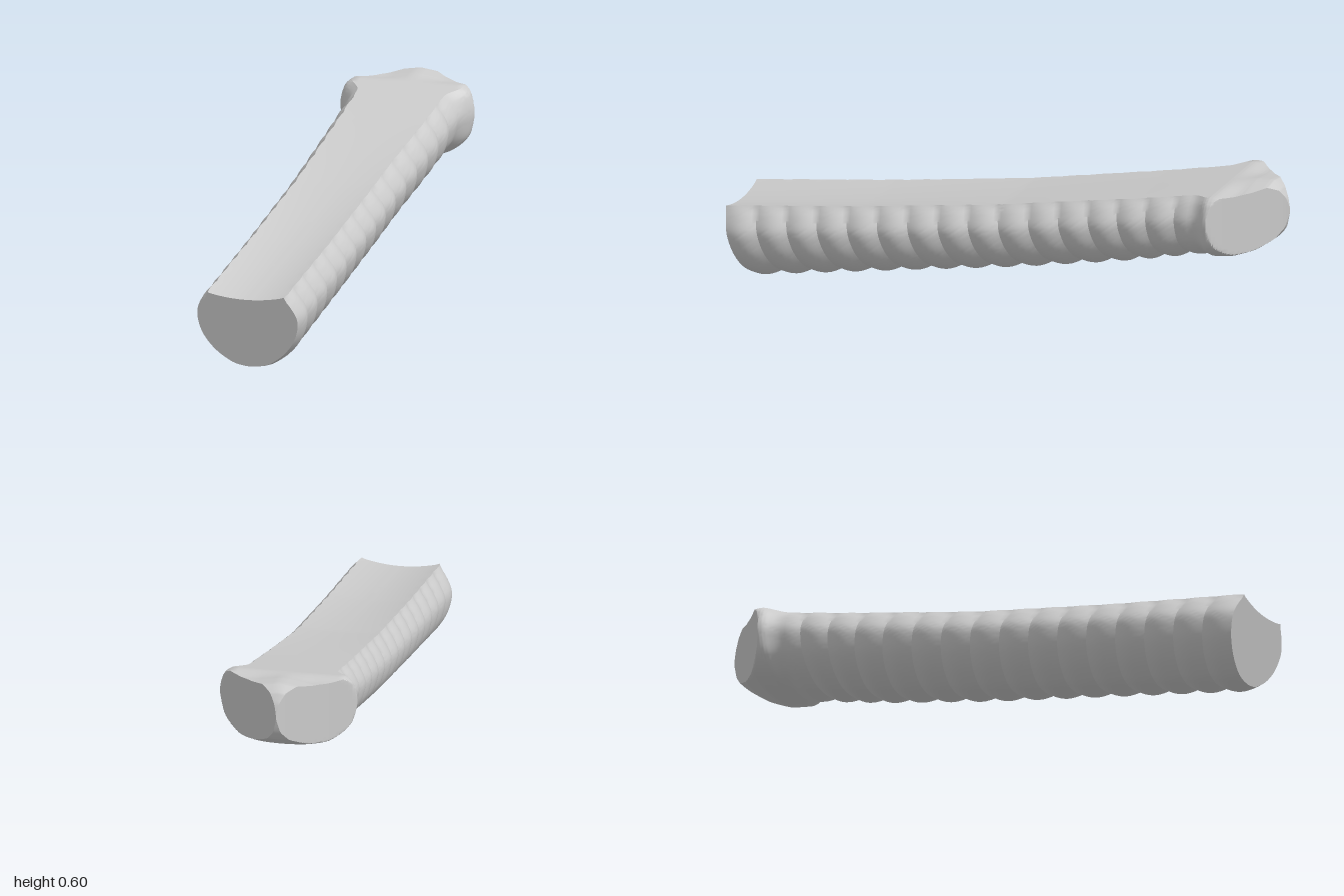
import * as THREE from 'three';
import { toCreasedNormals } from 'three/addons/utils/BufferGeometryUtils.js';

const { lerp, smoothstep } = THREE.MathUtils;

// Height of the top and of the underside along the length, as [z, y]
const TOP = [[1, 0.265], [0.5, 0.335], [0, 0.415], [-0.5, 0.515], [-0.79, 0.578],
  [-0.88, 0.592], [-0.94, 0.596], [-0.97, 0.575], [-0.99, 0.54], [-1, 0.5]];
const BOTTOM = [[1, -0.01], [0, 0.165], [-0.72, 0.315], [-0.79, 0.33], [-0.85, 0.34],
  [-0.91, 0.365], [-0.96, 0.4], [-0.985, 0.435], [-1, 0.49]];

function along(table, z) {
  let i = 0;
  while (i < table.length - 2 && z < table[i + 1][0]) i++;
  const [a, b] = [table[i], table[i + 1]];
  return lerp(a[1], b[1], (z - a[0]) / (b[0] - a[0]));
}

// Half outlines: x and depth below the top (0 = top, 1 = underside)
const spline = (pts) => new THREE.SplineCurve(pts.map((p) => new THREE.Vector2(...p)));
const SIDE = 48, FLAT = 8, LOBES = 16, BODY_END = -0.76, SHOULDER = -0.79;
const bodySide = spline([[0.138, 0], [0.165, 0.11], [0.188, 0.28], [0.185, 0.45],
  [0.165, 0.63], [0.125, 0.81], [0.07, 0.95], [0.025, 0.995], [0, 1]]).getPoints(SIDE);
const headSide = spline([[0.195, 0], [0.22, 0.09], [0.235, 0.3], [0.23, 0.5],
  [0.208, 0.72], [0.15, 0.9], [0.075, 0.98], [0.025, 0.997], [0, 1]]).getPoints(SIDE);

// One closed cross-section at station s
function section(s) {
  const head = smoothstep(-s, 0.71, -SHOULDER);
  const blend = lerp(0.25 * smoothstep(-s, 0, 0.75), 1, head);
  const lean = 0.23 * (1 - smoothstep(-s, 0.3, -SHOULDER));
  const top = along(TOP, s), height = top - along(BOTTOM, s);
  const dip = 0.018 * (1 - smoothstep(-s, -1, 0.8));
  const shift = -0.01 * (1 - smoothstep(-s, 0, -SHOULDER));

  // rounded lobes with sharp valleys
  const phase = (1 - s) / (1 - BODY_END) * LOBES;
  const lobe = s > BODY_END ? Math.abs(Math.sin(Math.PI * phase)) : 0;
  const inset = 0.014 * (1 - lobe) * (1 - head);

  // the head narrows to a vertical edge at the back, with a raised centre line on top
  const f = Math.max(0, (SHOULDER - s) / (1 + SHOULDER));
  const limit = f > 0 ? 0.235 * Math.pow(Math.max(0, 1 - f), 1.12) : 1;
  const crown = 0.015 * smoothstep(f, 0, 0.4);

  const half = [];
  const edge = lerp(bodySide[0].x, headSide[0].x, blend);
  for (let i = 0; i < FLAT; i++) {
    const u = i / FLAT;
    half.push([u * edge, dip * (1 - u * u)]);
  }
  for (let i = 0; i <= SIDE; i++) {
    const p = bodySide[i].clone().lerp(headSide[i], blend);
    const d = p.y * height;
    const weight = Math.min(1, 0.3 + i / 6);
    const dir = new THREE.Vector2(p.x, Math.max(0, d - height * 0.4)).normalize();
    half.push([p.x - dir.x * inset * weight, d - dir.y * inset * weight]);
  }
  const loop = [...half, ...half.slice(1, -1).reverse().map(([x, d]) => [-x, d])];
  return loop.map(([x, d]) => {
    const cx = Math.max(-limit, Math.min(limit, x));
    const drop = crown * Math.min(1, Math.abs(cx) / 0.1) * (1 - d / height);
    return [cx + shift, top - d - drop, s - lean * d];
  });
}

function skin(stations) {
  const rings = stations.map(section);
  const n = rings[0].length, pos = rings.flat(2), idx = [];
  for (let i = 0; i < rings.length - 1; i++) {
    for (let j = 0; j < n; j++) {
      const a = i * n + j, b = i * n + (j + 1) % n;
      idx.push(a, b, a + n, b, b + n, a + n);
    }
  }
  // flat front end
  const s = stations[0], d = (along(TOP, s) - along(BOTTOM, s)) / 2;
  pos.push(-0.01, along(TOP, s) - d, s - 0.23 * d);
  for (let j = 0; j < n; j++) idx.push(rings.length * n, (j + 1) % n, j);

  const geo = new THREE.BufferGeometry();
  geo.setAttribute('position', new THREE.Float32BufferAttribute(pos, 3));
  geo.setIndex(idx);
  return toCreasedNormals(geo, 0.65);
}

export function createModel() {
  const group = new THREE.Group();
  group.name = 'ribbedGrip';
  const stations = [];
  const span = (from, to, steps) => {
    for (let i = 0; i < steps; i++) stations.push(lerp(from, to, i / steps));
  };
  span(1, BODY_END, LOBES * 8); // ribbed body
  span(BODY_END, SHOULDER, 6);  // flared shoulder
  span(SHOULDER, -1, 48);       // pointed head
  stations.push(-1);

  const grip = new THREE.Mesh(skin(stations), new THREE.MeshStandardMaterial({ color: 0xcccccc }));
  grip.name = 'ribbedBodyWithPointedHead';
  group.add(grip);
  return group;
}
